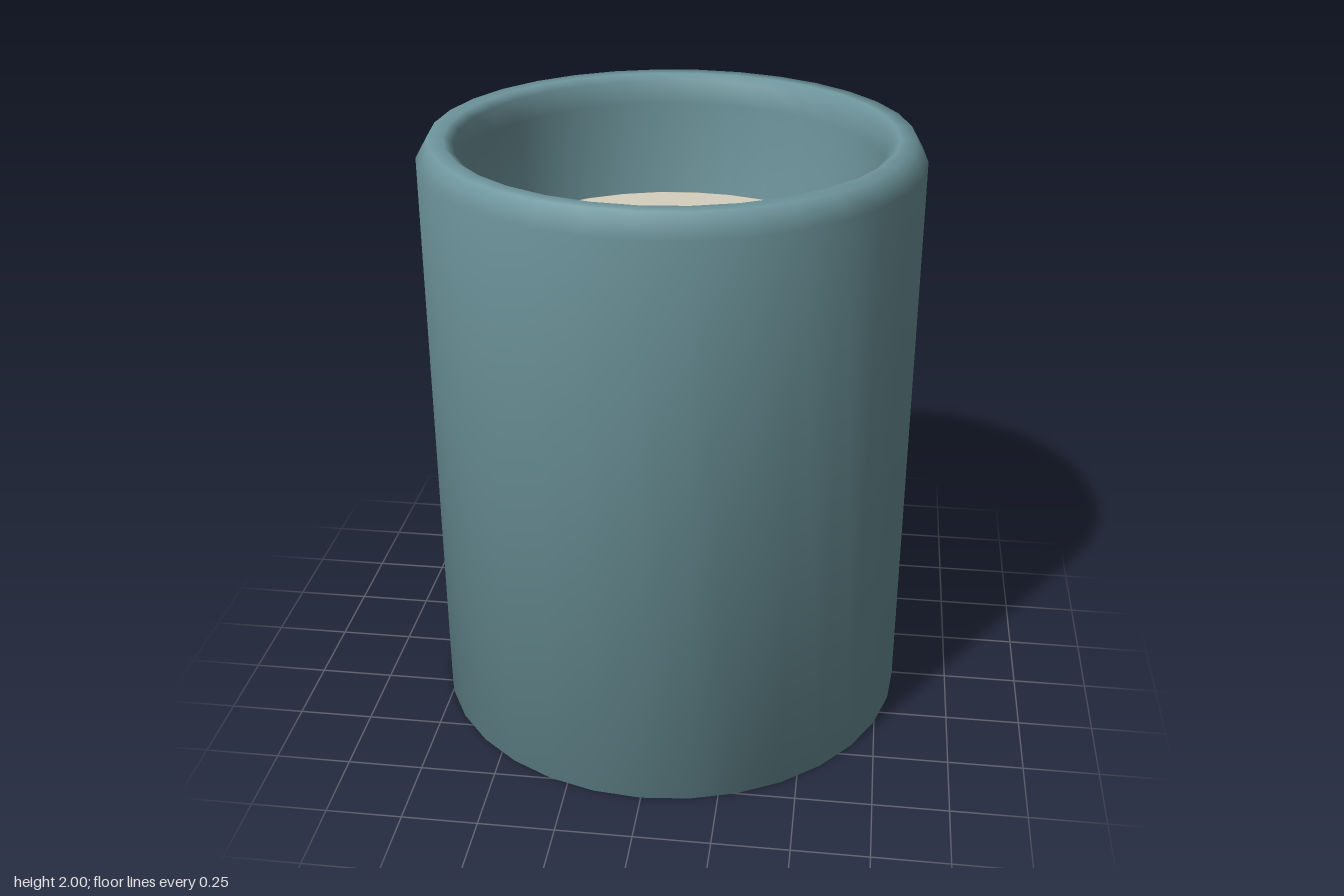
import * as THREE from 'three';

const SIDES = 32;

// Spin a [radius, height] profile around the y axis
function lathe(name, profile, material, sides = SIDES) {
  const points = profile.map(([r, y]) => new THREE.Vector2(r, y));
  const mesh = new THREE.Mesh(new THREE.LatheGeometry(points, sides), material);
  mesh.name = name;
  return mesh;
}

export function createModel() {
  const glaze = new THREE.MeshStandardMaterial({ color: 0x6f979e });
  glaze.name = 'blue grey glaze';
  const cream = new THREE.MeshStandardMaterial({ color: 0xd6d0bf });
  cream.name = 'cream wax';

  const candle = new THREE.Group();
  candle.name = 'candle';

  // Thick-walled jar: base, outer wall, bevelled rim, inner wall, inner floor
  candle.add(lathe('jar', [
    [0, 0], [0.81, 0], [0.81, 1.93], [0.77, 2], [0.72, 2],
    [0.69, 1.98], [0.685, 1.9], [0.685, 0.12], [0, 0.12],
  ], glaze));

  // Wax fill with a softened edge
  candle.add(lathe('wax', [
    [0, 0.13], [0.68, 0.13], [0.683, 1.57], [0.65, 1.58], [0, 1.58],
  ], cream));

  // Short wick standing out of the wax
  const wick = new THREE.Mesh(new THREE.CylinderGeometry(0.025, 0.025, 0.18, 16), glaze);
  wick.name = 'wick';
  wick.position.y = 1.63;
  candle.add(wick);

  return candle;
}
